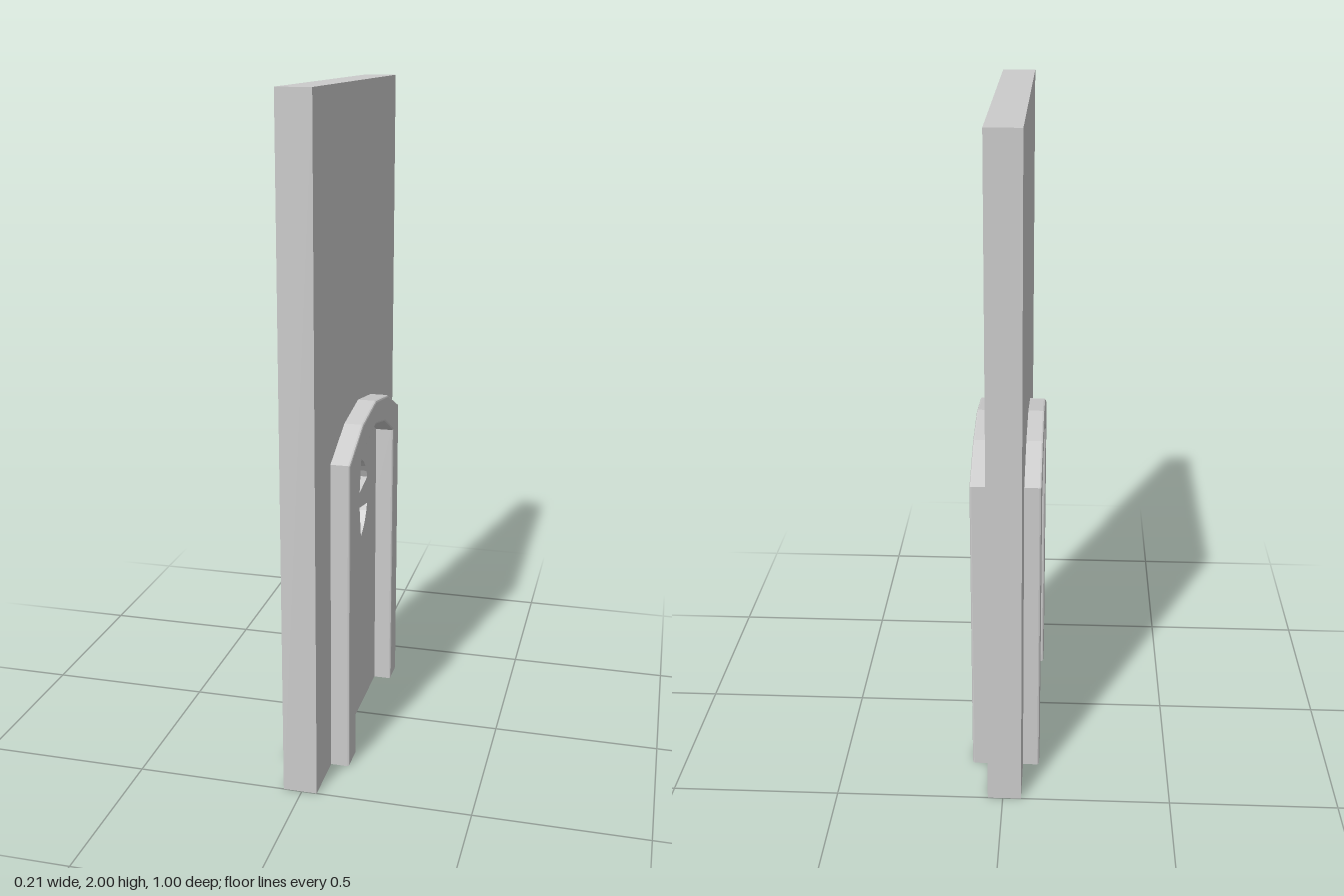
import * as THREE from 'three';

const material = new THREE.MeshStandardMaterial({ color: 0xcccccc, flatShading: true });

// Half outlines of the pointed arch, from jamb to peak: [across, height]
const OUTER = [[0.333, 0.955], [0.17, 1.03], [0, 1.057]];
const MIDDLE = [[0.295, 0.92], [0.15, 0.99], [0, 1.02]];
const INNER = [[0.253, 0.89], [0.13, 0.955], [0, 0.983]];

// Mirrors a half outline into an open path from the right foot over the peak to the left foot
function archPath(half) {
  const right = [[half[0][0], 0], ...half];
  const left = right.slice(0, -1).reverse().map(([a, y]) => [-a, y]);
  return [...right, ...left].map(([a, y]) => new THREE.Vector2(a, y));
}

// Extrudes a shape drawn in the wall plane between two x positions
function slab(name, shape, x0, x1, bevel = 0) {
  const geometry = new THREE.ExtrudeGeometry(shape, {
    depth: x1 - x0 - 2 * bevel,
    bevelEnabled: bevel > 0,
    bevelThickness: bevel,
    bevelSize: bevel,
    bevelOffset: -bevel,
    bevelSegments: 2,
  });
  geometry.translate(0, 0, x0 + bevel);
  geometry.rotateY(Math.PI / 2);
  const mesh = new THREE.Mesh(geometry, material);
  mesh.name = name;
  return mesh;
}

// One window pane: a quarter disc between bars that widen toward the rim
function paneHole(sx, sy) {
  const cy = 0.723, r = 0.136;
  const points = [new THREE.Vector2(sx * 0.025, cy + sy * 0.025)];
  const a0 = 0.33, a1 = Math.PI / 2 - 0.33;
  for (let i = 0; i <= 5; i++) {
    const a = a0 + ((a1 - a0) * i) / 5;
    points.push(new THREE.Vector2(sx * r * Math.cos(a), cy + sy * r * Math.sin(a)));
  }
  return new THREE.Path(points);
}

export function createModel() {
  const model = new THREE.Group();
  model.name = 'wallWithDoor';

  // Tall wall panel with the doorway cut from its foot
  const wall = new THREE.Shape([
    new THREE.Vector2(0.5, 0),
    new THREE.Vector2(0.5, 2),
    new THREE.Vector2(-0.5, 2),
    new THREE.Vector2(-0.5, 0),
    ...archPath(MIDDLE).reverse(),
  ]);
  model.add(slab('wall', wall, -0.055, 0.045));

  // Door flush with the wall, with a round four-pane window
  const door = new THREE.Shape(archPath(MIDDLE));
  for (const sx of [1, -1]) {
    for (const sy of [1, -1]) door.holes.push(paneHole(sx, sy));
  }
  model.add(slab('door', door, -0.055, 0.045));

  // Arched frame standing proud on both sides
  const frame = new THREE.Shape([...archPath(OUTER), ...archPath(INNER).reverse()]);
  model.add(slab('doorFrame', frame, -0.105, 0.102, 0.006));

  return model;
}
